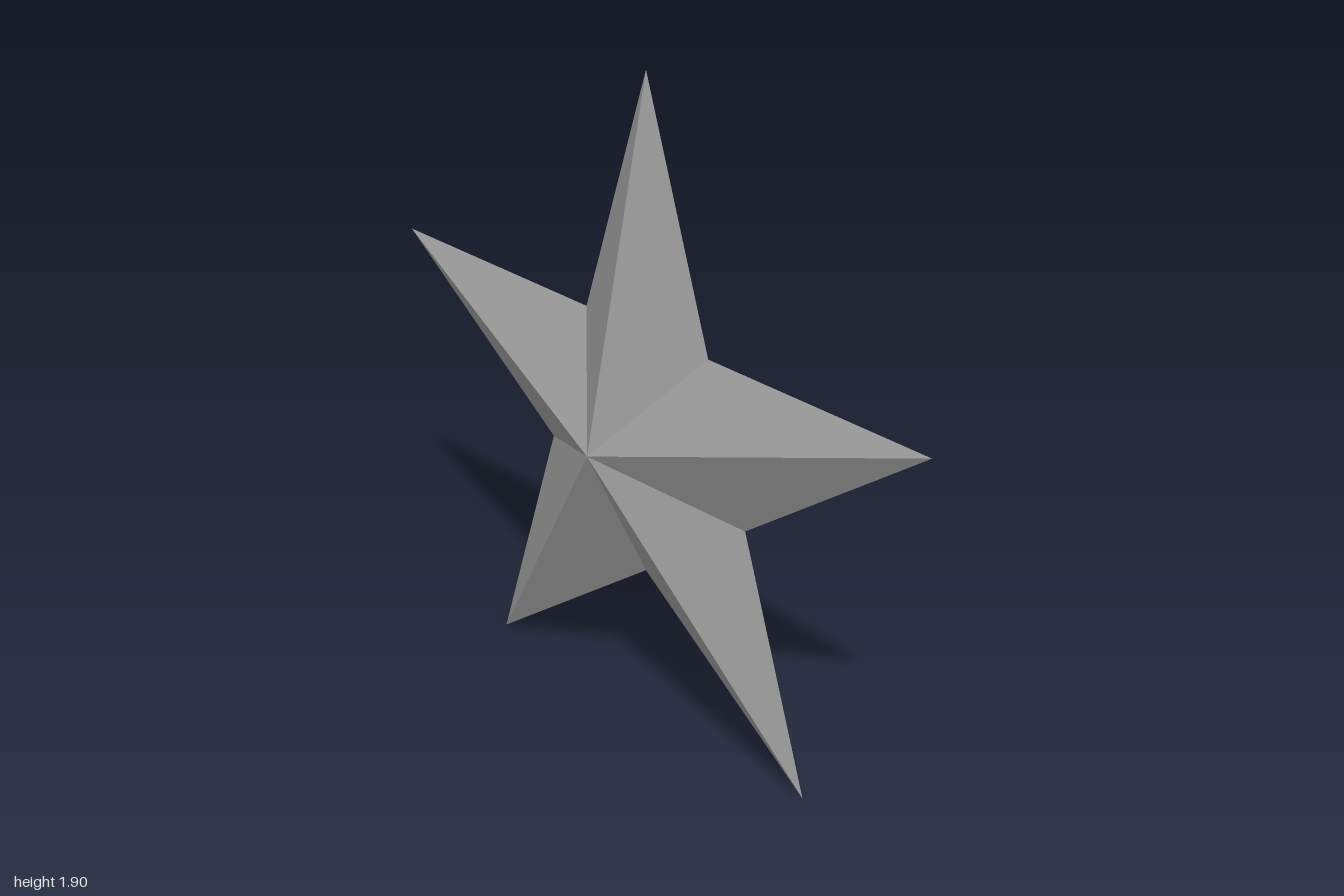
import * as THREE from 'three';

const OUTER = 1.0515;  // tip radius
const INNER = 0.4016;  // notch radius
const CENTRE_Y = 0.851; // centre of the outline
const APEX_Y = 0.88;   // height of the raised middle
const DEPTH = 0.214;   // half thickness

// Outline corner i of 10, starting at the top tip and running counter-clockwise
function corner(i) {
  const a = Math.PI / 2 + (i * Math.PI) / 5;
  const r = i % 2 === 0 ? OUTER : INNER;
  return [r * Math.cos(a), CENTRE_Y + r * Math.sin(a), 0];
}

// Ten facets fanning from the raised middle; side is 1 for front, -1 for back
function starHalf(side, name, material) {
  const apex = [0, APEX_Y, side * DEPTH];
  const points = [];
  for (let i = 0; i < 10; i++) {
    const a = corner(i), b = corner((i + 1) % 10);
    points.push(...apex, ...(side > 0 ? a : b), ...(side > 0 ? b : a));
  }
  const geometry = new THREE.BufferGeometry();
  geometry.setAttribute('position', new THREE.Float32BufferAttribute(points, 3));
  geometry.computeVertexNormals();
  const mesh = new THREE.Mesh(geometry, material);
  mesh.name = name;
  return mesh;
}

export function createModel() {
  const material = new THREE.MeshStandardMaterial({ color: 0x999999, flatShading: true });
  const star = new THREE.Group();
  star.name = 'star';
  star.add(starHalf(1, 'frontFacets', material), starHalf(-1, 'backFacets', material));
  return star;
}
